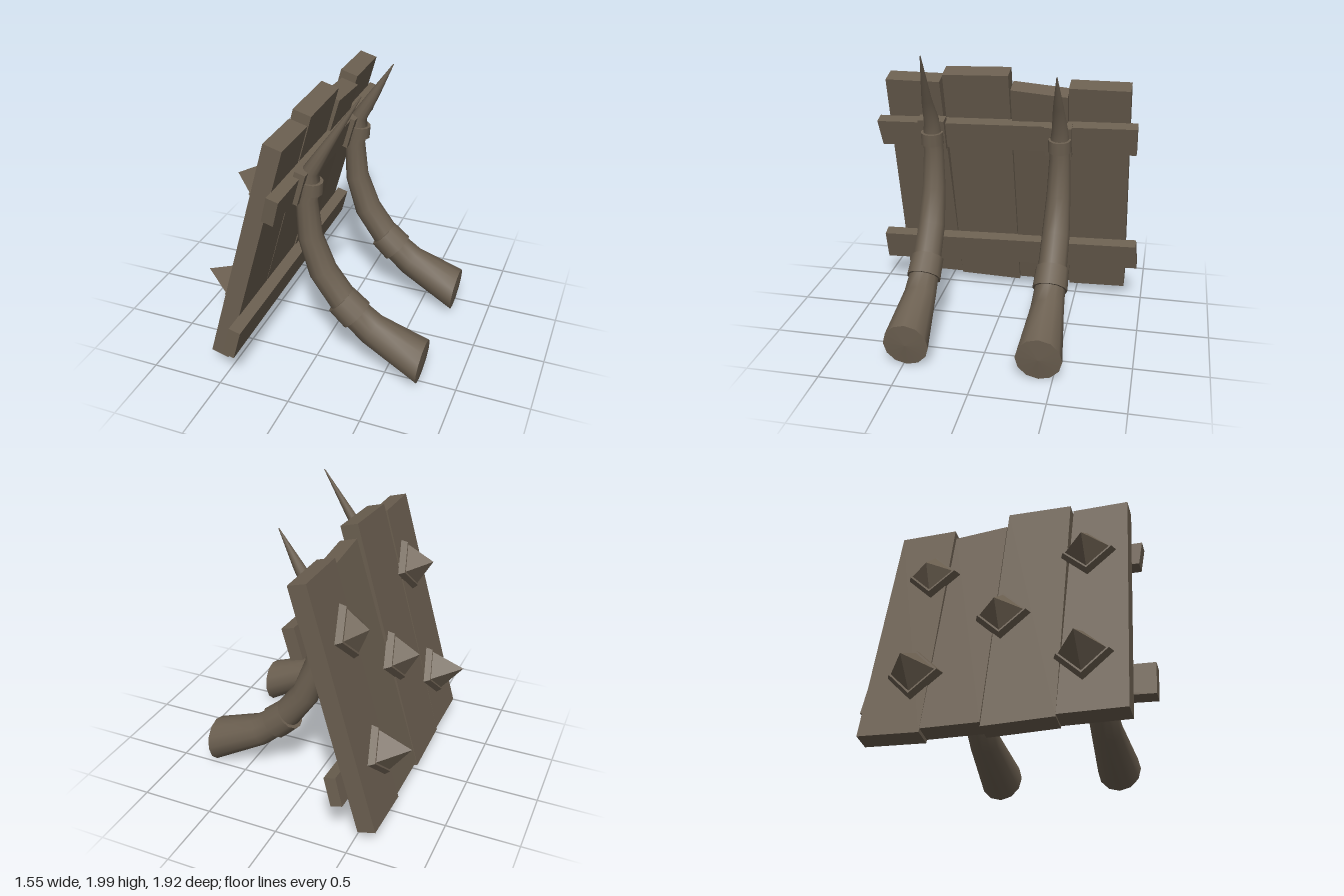
import * as THREE from 'three';
import { mergeVertices } from 'three/addons/utils/BufferGeometryUtils.js';

const brown = new THREE.MeshStandardMaterial({ color: 0x6b5f50 });
brown.name = 'weathered brown';

function add(parent, name, geometry) {
  const mesh = new THREE.Mesh(geometry, brown);
  mesh.name = name;
  parent.add(mesh);
  return mesh;
}

// Board with four [z, height] corners, spanning x0..x1 in thickness
function board(parent, name, corners, x0, x1) {
  const shape = new THREE.Shape(corners.map(([z, s]) => new THREE.Vector2(-z, s)));
  const geo = new THREE.ExtrudeGeometry(shape, { depth: x1 - x0, bevelEnabled: false });
  geo.rotateY(Math.PI / 2).translate(x0, 0, 0);
  return add(parent, name, geo);
}

// Round sweep through [x, y, z, radius, optional tangent angle], tip first
function sweep(points, sides = 12) {
  const last = points.length - 1;
  const geo = new THREE.CylinderGeometry(1, 1, 1, sides, last, true);
  const pos = geo.attributes.position;
  for (let i = 0; i < pos.count; i++) {
    const row = Math.round((0.5 - pos.getY(i)) * last);
    const [x, y, z, r, angle] = points[row];
    const a = points[Math.max(row - 1, 0)], b = points[Math.min(row + 1, last)];
    const t = angle ?? Math.atan2(a[1] - b[1], a[0] - b[0]);
    const u = pos.getX(i) * r;
    pos.setXYZ(i, x + Math.sin(t) * u, y - Math.cos(t) * u, z + pos.getZ(i) * r);
  }
  geo.deleteAttribute('uv');
  geo.deleteAttribute('normal');
  const merged = mergeVertices(geo);
  merged.computeVertexNormals();
  return merged;
}

// Curved horn with two bands and a blunt butt end
function horn(z, tip) {
  const g = new THREE.Group();
  g.name = 'horn';
  const baseAngle = Math.PI - 0.11;
  const base = [0.755, 0.17, z, 0.155, baseAngle];
  add(g, 'hornBody', sweep([
    tip,
    [0.08, 1.65, z, 0.036],
    [-0.03, 1.465, z, 0.055],
    [-0.032, 1.36, z, 0.068],
    [-0.06, 1.26, z, 0.071],
    [-0.042, 0.99, z, 0.083],
    [0.045, 0.735, z, 0.096],
    [0.22, 0.49, z, 0.1],
    [0.395, 0.345, z, 0.113],
    base,
  ]));
  add(g, 'hornButt', sweep([base, [0.765, 0.169, z, 0.001, baseAngle]]));
  const lower = add(g, 'lowerBand', new THREE.CylinderGeometry(0.114, 0.12, 0.15, 12));
  lower.position.set(0.23, 0.483, z);
  lower.rotation.z = 0.84;
  const upper = add(g, 'upperBand', new THREE.CylinderGeometry(0.077, 0.08, 0.085, 12));
  upper.position.set(-0.03, 1.357, z);
  upper.rotation.z = -0.1;
  return g;
}

// Four-sided spike on a bevelled diamond plate
function spike(s, z, tipX) {
  const g = new THREE.Group();
  g.name = 'spike';
  const length = -tipX - 0.105;
  const plate = new THREE.CylinderGeometry(0.165, 0.19, 0.05, 4).toNonIndexed();
  plate.computeVertexNormals();
  const cone = new THREE.ConeGeometry(0.15, length, 4).toNonIndexed();
  cone.computeVertexNormals();
  add(g, 'spikePlate', plate).position.y = 0.02;
  add(g, 'spikePoint', cone).position.y = 0.043 + length / 2;
  g.rotation.z = Math.PI / 2;
  g.position.set(-0.062, s, z);
  return g;
}

export function createModel() {
  const model = new THREE.Group();
  model.name = 'spikedBarricade';

  // Leaning panel: its local y runs up the planks
  const panel = new THREE.Group();
  panel.name = 'panel';
  panel.position.set(-0.59, 0.085, 0);
  panel.rotation.z = -0.27;
  model.add(panel);

  const planks = [
    [[0.83, 0.03], [0.4, 0.03], [0.43, 1.735], [0.81, 1.735]],
    [[0.4, 0.015], [-0.06, 0], [-0.05, 1.808], [0.405, 1.792]],
    [[-0.065, 0.03], [-0.45, 0.03], [-0.45, 1.68], [-0.065, 1.715]],
    [[-0.45, 0.005], [-0.867, 0.02], [-0.863, 1.735], [-0.455, 1.735]],
  ];
  planks.forEach((corners, i) => {
    const plank = board(panel, 'plank', corners, -0.063, 0.063);
    if (i === 2) plank.rotation.z = -0.014;
  });

  // Cross rails on the horn side
  board(panel, 'lowerRail', [[0.965, 0.19], [-0.96, 0.284], [-0.945, 0.484], [0.965, 0.417]], 0.06, 0.143);
  board(panel, 'upperRail', [[0.865, 1.254], [-0.92, 1.29], [-0.92, 1.496], [0.885, 1.444]], 0.06, 0.143);

  // Mounting pads behind the horns
  for (const z of [0.487, -0.392]) {
    board(panel, 'hornPad', [[z + 0.093, 1.26], [z - 0.093, 1.26], [z - 0.093, 1.49], [z + 0.093, 1.49]], 0.1, 0.175);
  }

  // Spikes on the outer side: height, z, tip depth
  const spikes = [[1.29, 0.55, -0.264], [1.29, -0.55, -0.22], [0.84, 0, -0.25], [0.44, 0.55, -0.314], [0.44, -0.55, -0.3]];
  for (const [s, z, tipX] of spikes) panel.add(spike(s, z, tipX));

  // Pair of horns, the second slightly shorter
  model.add(horn(0.478, [0.29, 2, 0.45, 0.003]));
  model.add(horn(-0.408, [0.21, 1.885, -0.41, 0.003]));
  return model;
}
